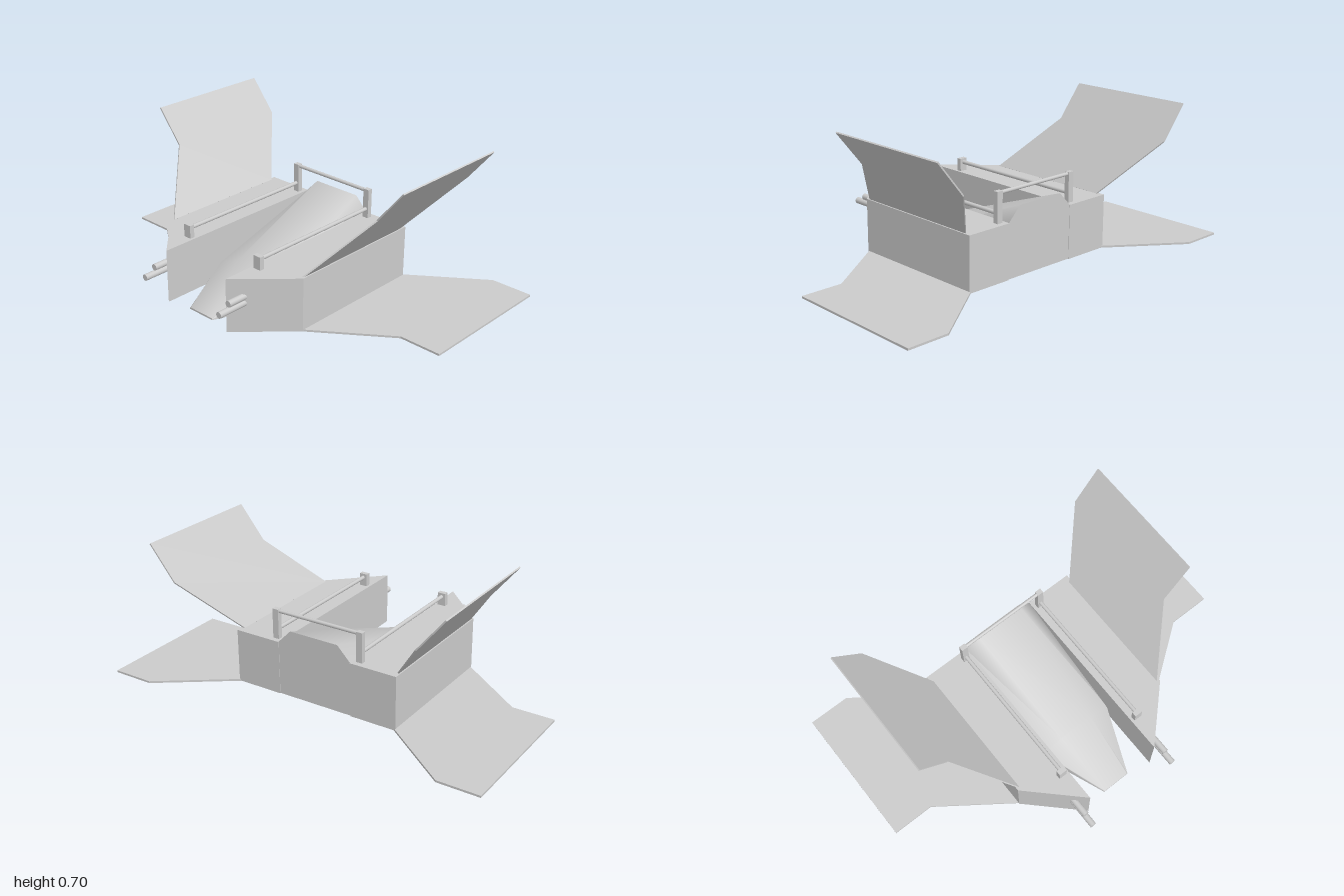
import * as THREE from 'three';
import { toCreasedNormals } from 'three/addons/utils/BufferGeometryUtils.js';

const material = new THREE.MeshStandardMaterial({ color: 0xcccccc });

function add(parent, name, geometry, x = 0, y = 0, z = 0) {
  const mesh = new THREE.Mesh(geometry, material);
  mesh.name = name;
  mesh.position.set(x, y, z);
  parent.add(mesh);
  return mesh;
}

// Flat slab from an [x, z] outline, rising by height; side = -1 mirrors it.
function slab(outline, height, side) {
  const shape = new THREE.Shape(outline.map(([x, z]) => new THREE.Vector2(x * side, -z)));
  return new THREE.ExtrudeGeometry(shape, { depth: height, bevelEnabled: false }).rotateX(-Math.PI / 2);
}

// Wedge lofted through cross-sections: [z, bottomX, shoulderX, shoulderY, topX, topY].
function wedge(sections, floor) {
  const positions = [], index = [], n = 6;
  for (const [z, bx, sx, sy, tx, ty] of sections) {
    positions.push(bx, floor, z, sx, sy, z, tx, ty, z, -tx, ty, z, -sx, sy, z, -bx, floor, z);
  }
  for (let s = 0; s < sections.length - 1; s++) {
    for (let i = 0; i < n; i++) {
      const j = (i + 1) % n;
      const a = s * n + i, b = s * n + j, c = b + n, d = a + n;
      index.push(a, b, d, b, c, d);
    }
  }
  const last = (sections.length - 1) * n;
  for (let k = 1; k < n - 1; k++) {
    index.push(0, k + 1, k, last, last + k, last + k + 1);
  }
  const geometry = new THREE.BufferGeometry();
  geometry.setAttribute('position', new THREE.Float32BufferAttribute(positions, 3));
  geometry.setIndex(index);
  return toCreasedNormals(geometry, 0.9);
}

export function createModel() {
  const model = new THREE.Group();
  model.name = 'spacecraft';

  // Sloping nose between the two hulls
  add(model, 'nose', wedge([
    [-0.395, 0.2, 0.2, 0.27, 0.13, 0.342],
    [0.22, 0.2, 0.2, 0.085, 0.094, 0.125],
    [0.54, 0.075, 0.075, 0.008, 0.07, 0.012],
  ], 0.003));

  const hull = [[0.197, 0.565], [0.44, 0.325], [0.44, -0.397], [0.197, -0.397]];
  const lowerWing = [[0.2, 0.555], [0.44, 0.32], [0.79, 0.065], [1, 0.065],
    [1, -0.657], [0.79, -0.657], [0.43, -0.395], [0.2, -0.395]];

  // Upper wing outline: distance along the slope, then z
  const slope = Math.atan2(0.43, 0.35);
  const upperWing = [[0, 0.317], [0.341, 0.08], [0.554, 0.08],
    [0.554, -0.587], [0.341, -0.587], [0, -0.36]];

  for (const side of [1, -1]) {
    const half = new THREE.Group();
    half.name = side > 0 ? 'leftSide' : 'rightSide';
    model.add(half);

    add(half, 'hull', slab(hull, 0.267, side), 0, 0.004, 0);
    add(half, 'lowerWing', slab(lowerWing, 0.01, side), 0, 0, 0);
    const wing = slab(upperWing, 0.007, side).rotateZ(side * slope);
    add(half, 'upperWing', wing, side * 0.43, 0.267, 0);

    // Pair of guns, the lower one longer
    for (const [y, tip] of [[0.18, 0.6], [0.148, 0.657]]) {
      const length = tip - 0.45;
      const barrel = new THREE.CylinderGeometry(0.016, 0.016, length, 16).rotateX(Math.PI / 2);
      add(half, 'gunBarrel', barrel, side * 0.248, y, tip - length / 2);
    }

    // Handrail along the hull top
    const railX = side * 0.231;
    add(half, 'frontPost', new THREE.BoxGeometry(0.042, 0.068, 0.025), railX, 0.302, 0.392);
    add(half, 'rearPost', new THREE.BoxGeometry(0.032, 0.152, 0.025), railX, 0.344, -0.358);
    const rail = new THREE.CylinderGeometry(0.01, 0.01, 0.75, 12).rotateX(Math.PI / 2);
    add(half, 'rail', rail, railX, 0.316, 0.017);
  }

  // Bar joining the rear posts
  const bar = new THREE.CylinderGeometry(0.009, 0.009, 0.462, 12).rotateZ(Math.PI / 2);
  add(model, 'crossBar', bar, 0, 0.41, -0.358);

  return model;
}
